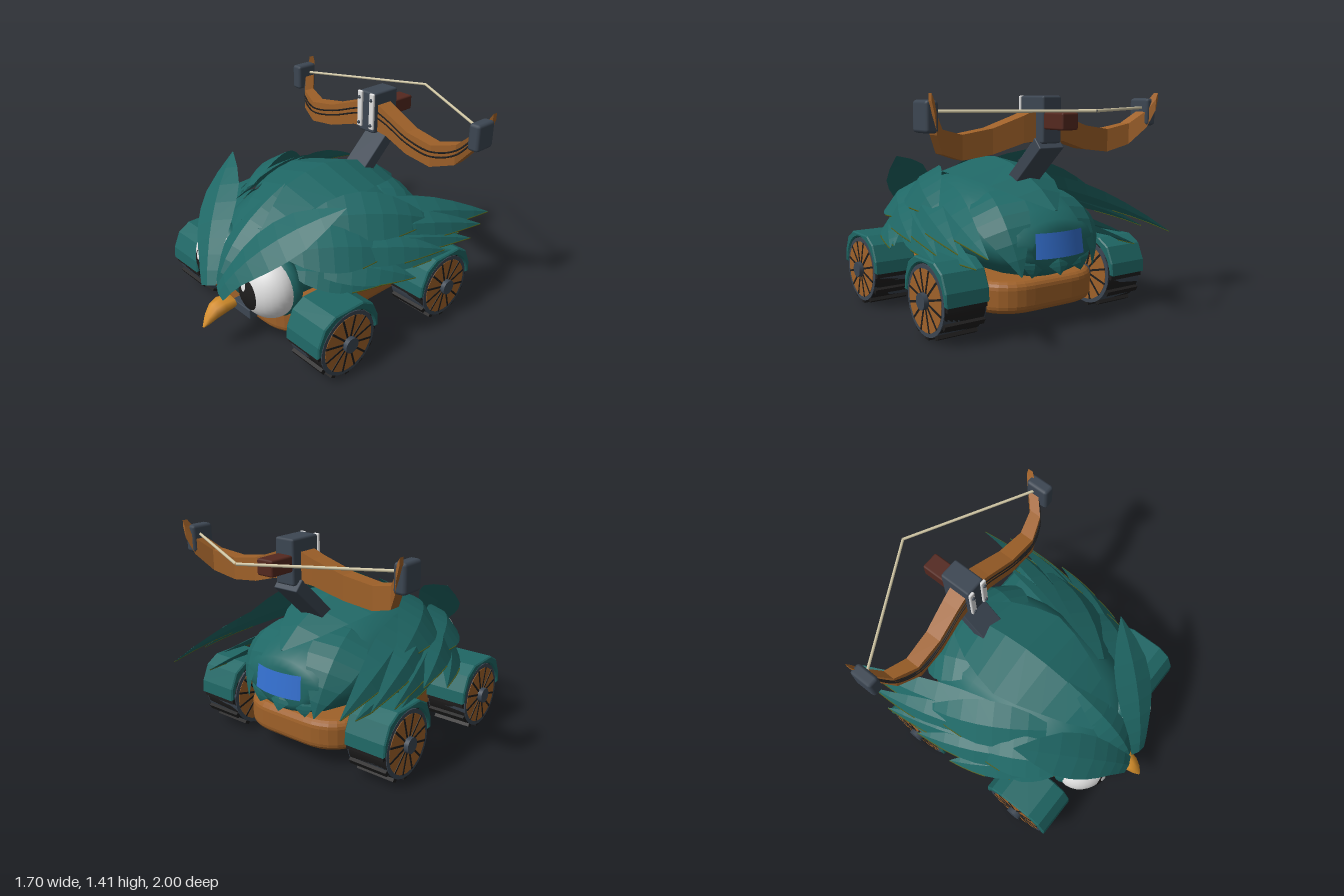
import * as THREE from 'three';
import { RoundedBoxGeometry } from 'three/addons/geometries/RoundedBoxGeometry.js';

const mat = (name, color, opt = {}) => {
  const m = new THREE.MeshStandardMaterial({ color, ...opt });
  m.name = name;
  return m;
};
const V = (x, y, z) => new THREE.Vector3(x, y, z);

export function createModel() {
  const teal = mat('teal', 0x1f6765), wood = mat('wood', 0x9f6129), slate = mat('slate', 0x3c4652);
  const black = mat('black', 0x1e1d1d), white = mat('white', 0xe2e2e2), amber = mat('amber', 0xd28c2a);
  const redBrown = mat('redBrown', 0x54281f), blue = mat('blue', 0x3470d0, { side: THREE.DoubleSide });
  const cream = mat('cream', 0xd2c8a6), olive = mat('olive', 0x55601a);
  const root = new THREE.Group();

  const add = (name, geo, m, x = 0, y = 0, z = 0, parent = root) => {
    const mesh = new THREE.Mesh(geo, m);
    mesh.name = name;
    mesh.position.set(x, y, z);
    parent.add(mesh);
    return mesh;
  };
  const box = (name, m, w, h, d, x, y, z, r = 0.012) =>
    add(name, new RoundedBoxGeometry(w, h, d, 1, r), m, x, y, z);
  const group = (name, x, y, z) => {
    const g = new THREE.Group();
    g.name = name;
    g.position.set(x, y, z);
    root.add(g);
    return g;
  };

  // Closed skin over rings that run counter-clockwise about the direction of travel
  const loft = (rings, smooth = false) => {
    const n = rings[0].length, pos = [], idx = [];
    rings.forEach(r => r.forEach(p => pos.push(p.x, p.y, p.z)));
    for (let j = 0; j < rings.length - 1; j++) for (let i = 0; i < n; i++) {
      const a = j * n + i, b = j * n + (i + 1) % n;
      idx.push(a, b, b + n, a, b + n, a + n);
    }
    const last = (rings.length - 1) * n;
    for (let i = 1; i < n - 1; i++) idx.push(0, i + 1, i, last, last + i, last + i + 1);
    let g = new THREE.BufferGeometry();
    g.setAttribute('position', new THREE.Float32BufferAttribute(pos, 3));
    g.setIndex(idx);
    if (!smooth) g = g.toNonIndexed();
    g.computeVertexNormals();
    return g;
  };

  // Ridged leaf along a curve; profile lists the relative width from root to tip
  const LEAF = [0.3, 0.68, 0.9, 1, 0.98, 0.84, 0.6, 0.32, 0.02];
  const BROW = [0.4, 0.5, 0.62, 0.8, 0.95, 1, 0.92, 0.56, 0.02];
  const SHELL = [0.3, 0.56, 0.74, 0.9, 1, 0.9, 0.74, 0.48, 0.04];
  const leafRings = (p0, pc, p1, width, up, thick, profile = LEAF) => {
    const curve = new THREE.QuadraticBezierCurve3(p0, pc, p1);
    return profile.map((k, i) => {
      const t = i / (profile.length - 1), p = curve.getPoint(t), d = curve.getTangent(t);
      const side = d.clone().cross(up).normalize(), n = side.clone().cross(d).normalize();
      const off = (v, s) => p.clone().addScaledVector(v, s * k);
      return [off(side, -width / 2), off(n, thick), off(side, width / 2), off(n, -thick * 0.4)];
    });
  };

  // Chassis: rounded plan with soft edges
  const plan = new THREE.Shape();
  const W = 0.38, L = 0.6, R = 0.24;
  plan.moveTo(-W + R, -L).lineTo(W - R, -L).quadraticCurveTo(W, -L, W, -L + R).lineTo(W, L - R)
    .quadraticCurveTo(W, L, W - R, L).lineTo(-W + R, L).quadraticCurveTo(-W, L, -W, L - R)
    .lineTo(-W, -L + R).quadraticCurveTo(-W, -L, -W + R, -L);
  const chassis = new THREE.ExtrudeGeometry(plan, { depth: 0.1, bevelSize: 0.05, bevelThickness: 0.05, bevelSegments: 4, curveSegments: 8 });
  chassis.rotateX(-Math.PI / 2);
  add('chassis', chassis, wood, 0, 0.165, 0);
  box('frontBumper', slate, 0.18, 0.07, 0.14, 0, 0.19, 0.64, 0.006);

  // Body: oval sections from back to front [z, half width, bottom, top]
  const body = [[-0.69, 0.2, 0.38, 0.62], [-0.66, 0.29, 0.34, 0.67], [-0.58, 0.38, 0.31, 0.73], [-0.42, 0.44, 0.29, 0.8],
    [-0.2, 0.47, 0.28, 0.88], [0.1, 0.47, 0.27, 0.91], [0.35, 0.45, 0.27, 0.88], [0.52, 0.41, 0.27, 0.8],
    [0.64, 0.3, 0.28, 0.71], [0.72, 0.14, 0.32, 0.6]];
  add('body', loft(body.map(([z, w, lo, hi]) => Array.from({ length: 24 }, (_, i) => {
    const a = i / 24 * Math.PI * 2;
    return V(w * Math.cos(a), (lo + hi) / 2 + (hi - lo) / 2 * Math.sin(a), z);
  })), true), teal);
  add('backShell', loft(leafRings(V(0, 0.77, 0.6), V(0, 1.06, 0), V(0, 0.72, -0.66), 0.68, V(0, 1, 0), 0.095, SHELL)), teal);
  add('foreheadFeather', loft(leafRings(V(0, 0.44, 0.86), V(0, 0.74, 0.72), V(0, 0.96, 0.32), 0.22, V(0, 0.7, 0.7), 0.04)), teal);

  // Rear panel and the tail points beneath it
  add('rearPanel', new THREE.CylinderGeometry(0.495, 0.515, 0.15, 10, 1, true, Math.PI - 0.36, 0.72), blue, 0, 0.53, -0.225);
  for (const x of [-0.17, 0, 0.17])
    add('tailPoint', loft(leafRings(V(x * 0.9, 0.5, -0.6), V(x, 0.44, -0.69), V(x * 1.1, 0.34, -0.71 + Math.abs(x) * 0.2), 0.2, V(0, 0.2, -1), 0.02)), teal);

  // Wing feathers on the +x side: root, tip, width, arch
  const wing = [
    [[0.3, 0.84, 0.38], [0.64, 0.7, -0.38], 0.32, 0.1],
    [[0.34, 0.8, 0.28], [0.67, 0.57, -0.94], 0.25, 0.09],
    [[0.4, 0.77, 0.36], [0.74, 0.57, -0.76], 0.22, 0.09],
    [[0.42, 0.72, 0.42], [0.78, 0.54, -0.6], 0.2, 0.07],
    [[0.42, 0.69, 0.46], [0.79, 0.57, -0.32], 0.22, 0.07],
    [[0.4, 0.62, 0.5], [0.79, 0.48, -0.05], 0.22, 0.06],
    [[0.43, 0.56, 0.42], [0.74, 0.47, -0.5], 0.18, 0.04],
    [[0.42, 0.52, 0.34], [0.6, 0.46, -0.72], 0.18, 0.04],
    [[0.34, 0.72, 0.6], [0.66, 0.64, 0.0], 0.3, 0.07],
    [[0.37, 0.6, 0.58], [0.68, 0.45, 0.12], 0.22, 0.04],
  ];

  for (const s of [1, -1]) {
    wing.forEach(([a, b, w, arch]) => {
      const p0 = V(a[0] * s, a[1], a[2]), p1 = V(b[0] * s, b[1], b[2]), up = V(0.72 * s, 0.7, 0.05);
      const rings = leafRings(p0, p0.clone().lerp(p1, 0.5).addScaledVector(up, arch * 1.6), p1, w, up, 0.035);
      add('wingFeather', loft(rings), teal);
      const edge = new THREE.CatmullRomCurve3(rings.slice(5).map(r => r[s > 0 ? 2 : 0]));
      add('featherTrim', new THREE.TubeGeometry(edge, 6, 0.004, 4), olive);
    });
    // Overlapping plates on the rump
    add('rumpFeather', loft(leafRings(V(0.2 * s, 0.8, -0.2), V(0.36 * s, 0.78, -0.62), V(0.27 * s, 0.36, -0.69), 0.34, V(0.5 * s, 0.6, -0.7), 0.03)), teal);

    // Brow feather, tilted forward as a visor over the eye
    add('brow', loft(leafRings(V(0.06 * s, 0.43, 0.9), V(0.19 * s, 0.73, 0.79), V(0.55 * s, 1, 0.32), 0.3, V(0.02 * s, 0.85, 0.86), 0.03, BROW)), teal);

    // Eye: flattened ball turned slightly outward, with pupil and glint laid on its surface
    const eye = group('eye', 0.24 * s, 0.475, 0.665);
    eye.rotation.y = 0.22 * s;
    add('eyeRim', new THREE.SphereGeometry(1, 28, 16), teal, 0, 0, -0.04, eye).scale.set(0.218, 0.228, 0.11);
    add('eyeball', new THREE.SphereGeometry(1, 28, 20), white, 0, 0, 0, eye).scale.set(0.198, 0.21, 0.165);
    const decal = (name, m, cx, cy, rx, ry, lift) => {
      const g = new THREE.RingGeometry(0, 1, 28, 4), p = g.attributes.position;
      for (let i = 0; i < p.count; i++) {
        const x = cx + p.getX(i) * rx, y = cy + p.getY(i) * ry;
        p.setXYZ(i, x, y, 0.165 * Math.sqrt(1 - (x / 0.198) ** 2 - (y / 0.21) ** 2) + lift);
      }
      g.computeVertexNormals();
      add(name, g, m, 0, 0, 0, eye);
    };
    decal('pupil', black, -0.04 * s, -0.005, 0.08, 0.105, 0.005);
    decal('eyeGlint', white, -0.04 * s - 0.023, 0.055, 0.021, 0.032, 0.009);

    // Wheels under arched fenders
    for (const z of [0.48, -0.41]) {
      const wheel = group('wheel', 0.61 * s, 0.235, z);
      const disc = (name, r, len, m) => add(name, new THREE.CylinderGeometry(r, r, len, 28).rotateZ(Math.PI / 2), m, 0, 0, 0, wheel);
      disc('tyre', 0.214, 0.27, black);
      disc('rimRing', 0.214, 0.282, slate);
      disc('rim', 0.188, 0.288, wood);
      disc('hub', 0.05, 0.35, slate);
      for (let i = 0; i < 12; i++) {
        const a = i / 12 * Math.PI * 2;
        add('tread', new THREE.BoxGeometry(0.265, 0.035, 0.035).translate(0, 0.217, 0), black, 0, 0, 0, wheel).rotation.x = a;
        add('spoke', new THREE.BoxGeometry(0.294, 0.15, 0.013).translate(0, 0.115, 0), black, 0, 0, 0, wheel).rotation.x = a + 0.26;
      }
      const arch = new THREE.Shape();
      arch.moveTo(0.24, 0.02).lineTo(0.235, 0.09).lineTo(0.19, 0.19).lineTo(0.11, 0.237).lineTo(-0.11, 0.237)
        .lineTo(-0.19, 0.19).lineTo(-0.235, 0.09).lineTo(-0.24, 0.02).lineTo(-0.226, 0.02);
      arch.absarc(0, 0, 0.227, Math.PI - 0.09, 0.09, true);
      const fender = new THREE.ExtrudeGeometry(arch, { depth: 0.272, bevelSize: 0.008, bevelThickness: 0.008, bevelSegments: 1, curveSegments: 20 });
      add('fender', fender.translate(0, 0, -0.136).rotateY(Math.PI / 2), teal, 0.614 * s, 0.235, z);
    }

    // Bow limb sections: x, low y, high y, front z, back z
    const limb = [[0.05, 1.13, 1.32, -0.43, -0.55], [0.15, 1.12, 1.28, -0.425, -0.54], [0.35, 1.06, 1.21, -0.405, -0.51],
      [0.55, 1.035, 1.18, -0.405, -0.5], [0.7, 1.08, 1.215, -0.46, -0.54], [0.78, 1.19, 1.3, -0.54, -0.62],
      [0.815, 1.3, 1.37, -0.6, -0.66], [0.832, 1.37, 1.41, -0.625, -0.66]];
    const rings = limb.map(([x, lo, hi, f, b]) => [V(x * s, lo, b), V(x * s, hi, b), V(x * s, hi, f), V(x * s, lo, f)]);
    add('bowLimb', loft(s > 0 ? rings : rings.reverse()), wood);
    for (const k of [0.5, 0.72]) {
      const path = new THREE.CatmullRomCurve3(limb.slice(0, 6).map(([x, lo, hi, f]) => V(x * s, lo + (hi - lo) * k, f)));
      add('limbStripe', new THREE.TubeGeometry(path, 24, 0.006, 5), black);
    }
    box('limbCap', slate, 0.08, 0.175, 0.16, 0.81 * s, 1.288, -0.55, 0.02);
    add('bowString', new THREE.TubeGeometry(new THREE.LineCurve3(V(0.78 * s, 1.315, -0.57), V(0, 1.315, -0.99)), 1, 0.009, 8), cream);

    // Clamp plates with bolts
    box('clampPlate', white, 0.042, 0.25, 0.02, 0.053 * s, 1.27, -0.388, 0.008);
    for (const y of [1.175, 1.35]) add('bolt', new THREE.SphereGeometry(0.012, 8, 6), slate, 0.053 * s, y, -0.377);
  }

  // Beak sections run forward: z, half width, low y, high y
  const beak = [[0.78, 0.06, 0.255, 0.33], [0.86, 0.068, 0.245, 0.345], [0.92, 0.055, 0.225, 0.33], [0.965, 0.035, 0.203, 0.275], [1, 0.008, 0.19, 0.2]];
  add('beak', loft(beak.map(([z, w, lo, hi]) => Array.from({ length: 8 }, (_, i) => {
    const a = i / 8 * Math.PI * 2;
    return V(w * Math.cos(a), (lo + hi) / 2 + (hi - lo) / 2 * Math.sin(a), z);
  })), true), amber);

  // Bow mount
  box('mountPost', slate, 0.18, 0.38, 0.085, 0, 0.99, -0.45, 0.006).rotation.x = -0.82;
  box('bowBlock', slate, 0.14, 0.28, 0.22, 0, 1.255, -0.505, 0.014);
  box('stock', redBrown, 0.12, 0.1, 0.2, 0, 1.25, -0.68, 0.012);
  return root;
}
